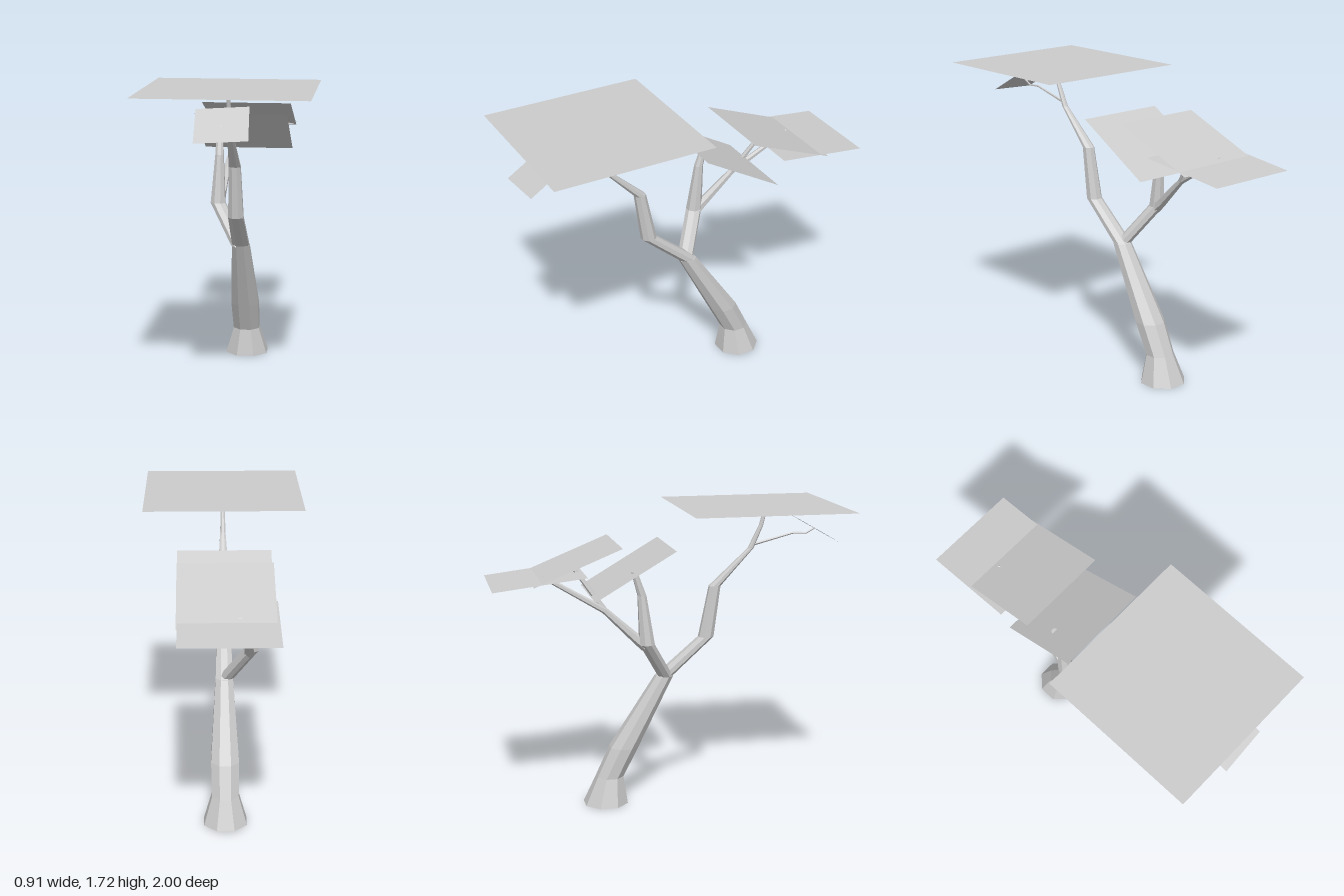
import * as THREE from 'three';

const bark = new THREE.MeshStandardMaterial({ color: 0xcccccc, flatShading: true });
const leaf = new THREE.MeshStandardMaterial({ color: 0xcccccc, side: THREE.DoubleSide });

// Faceted limb through rings [x, y, z, radius]; rings lie level, or square to the path if tilted.
function limb(name, rings, sides = 8, tilted = false) {
  const pts = rings.map(r => new THREE.Vector3(r[0], r[1], r[2]));
  const pos = [], index = [], last = pts.length - 1;
  pts.forEach((p, i) => {
    const t = tilted
      ? pts[Math.min(i + 1, last)].clone().sub(pts[Math.max(i - 1, 0)]).normalize()
      : new THREE.Vector3(0, 1, 0);
    const u = new THREE.Vector3(1, 0, 0).addScaledVector(t, -t.x).normalize();
    const v = t.clone().cross(u);
    const r = rings[i][3] / Math.cos(Math.PI / sides);
    for (let j = 0; j < sides; j++) {
      const a = (j + 0.5) / sides * Math.PI * 2;
      const q = p.clone().addScaledVector(u, r * Math.cos(a)).addScaledVector(v, r * Math.sin(a));
      pos.push(q.x, q.y, q.z);
      if (i < last) {
        const k = (j + 1) % sides, b = i * sides, c = b + sides;
        index.push(b + j, b + k, c + k, b + j, c + k, c + j);
      }
    }
  });
  // end caps
  for (let j = 1; j < sides - 1; j++) {
    const e = last * sides;
    index.push(0, j + 1, j, e, e + j, e + j + 1);
  }
  const geo = new THREE.BufferGeometry();
  geo.setAttribute('position', new THREE.Float32BufferAttribute(pos, 3));
  geo.setIndex(index);
  const flat = geo.toNonIndexed();
  flat.computeVertexNormals();
  const mesh = new THREE.Mesh(flat, bark);
  mesh.name = name;
  return mesh;
}

// Flat foliage card: size, centre, pitch about x and slight yaw / roll.
function card(name, w, d, [x, y, z], pitch = 0, yaw = 0, roll = 0) {
  const geo = new THREE.PlaneGeometry(w, d).rotateX(-Math.PI / 2);
  const mesh = new THREE.Mesh(geo, leaf);
  mesh.name = name;
  mesh.position.set(x, y, z);
  mesh.rotation.set(pitch, yaw, roll);
  return mesh;
}

export function createModel() {
  const tree = new THREE.Group();
  tree.name = 'tree';

  // leaning trunk with flared foot
  tree.add(limb('trunk', [
    [0, 0, -0.355, 0.122], [0, 0.16, -0.33, 0.076],
    [0, 0.335, -0.245, 0.08], [0, 0.75, -0.005, 0.05],
  ]));

  // front limb and its twig
  tree.add(limb('frontBranch', [
    [0, 0.75, -0.005, 0.048], [0, 0.965, 0.24, 0.042], [0, 1.26, 0.29, 0.032],
    [0, 1.47, 0.5, 0.016], [0, 1.6, 0.56, 0.012], [0, 1.715, 0.59, 0.009],
  ]));
  tree.add(limb('frontTwig', [
    [0, 1.49, 0.51, 0.007], [0, 1.55, 0.75, 0.005],
    [0, 1.547, 0.83, 0.005], [0, 1.575, 0.88, 0.004],
  ], 5, true));

  // back limb and its forked offshoot
  tree.add(limb('backBranch', [
    [-0.01, 0.745, 0, 0.042], [-0.148, 0.97, -0.135, 0.042],
    [-0.142, 1.25, -0.162, 0.024], [-0.145, 1.385, -0.205, 0.017],
  ]));
  tree.add(limb('backOffshoot', [
    [-0.14, 0.96, -0.14, 0.03], [-0.135, 1.01, -0.2, 0.024],
    [-0.115, 1.17, -0.37, 0.016], [-0.07, 1.365, -0.705, 0.011],
  ], 6, true));
  tree.add(limb('backFork', [
    [-0.115, 1.16, -0.36, 0.014], [-0.05, 1.425, -0.545, 0.01],
  ], 6, true));

  // foliage cards
  tree.add(card('largeFoliage', 0.91, 0.912, [0, 1.717, 0.528]));
  tree.add(card('smallFoliage', 0.275, 0.28, [0.001, 1.577, 0.872], 0.52, 0.07, 0.02));
  tree.add(card('innerBackFoliage', 0.525, 0.525, [0, 1.378, -0.217], -0.53));
  tree.add(card('middleBackFoliage', 0.522, 0.525, [0, 1.437, -0.532], -0.385));
  tree.add(card('outerBackFoliage', 0.53, 0.52, [-0.01, 1.355, -0.742], -0.117));
  return tree;
}
